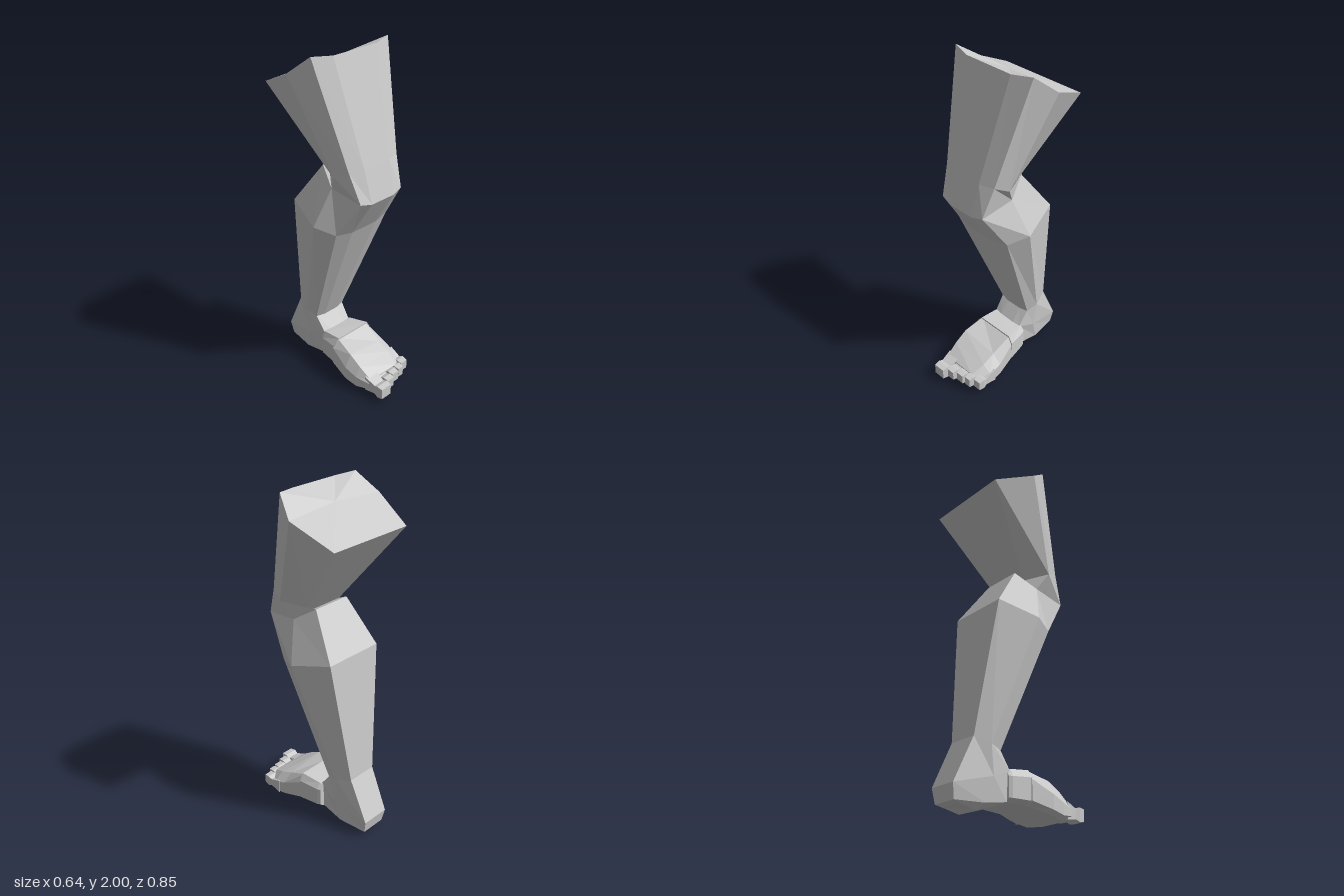
import * as THREE from 'three';

const material = new THREE.MeshStandardMaterial({ color: 0xcccccc, flatShading: true });

// Skin a list of rings (equal point counts); optionally close the first and last ring.
function loft(name, rings, capStart = true, capEnd = true) {
  const pos = [];
  const tri = (a, b, c) => pos.push(...a, ...b, ...c);
  const n = rings[0].length;
  for (let r = 0; r + 1 < rings.length; r++) {
    for (let i = 0; i < n; i++) {
      const j = (i + 1) % n;
      const [a, b, c, d] = [rings[r][i], rings[r][j], rings[r + 1][j], rings[r + 1][i]];
      tri(a, d, c);
      tri(a, c, b);
    }
  }
  const cap = (ring, flip) => {
    const mid = [0, 1, 2].map(k => ring.reduce((s, p) => s + p[k], 0) / n);
    ring.forEach((p, i) => {
      const q = ring[(i + 1) % n];
      flip ? tri(mid, q, p) : tri(mid, p, q);
    });
  };
  if (capStart) cap(rings[0], false);
  if (capEnd) cap(rings[rings.length - 1], true);
  const geo = new THREE.BufferGeometry();
  geo.setAttribute('position', new THREE.Float32BufferAttribute(pos, 3));
  geo.computeVertexNormals();
  const mesh = new THREE.Mesh(geo, material);
  mesh.name = name;
  return mesh;
}

// Leg ring from its +x half: front middle, front corner, side, back corner.
const mirrorRing = (...half) =>
  [...half, ...half.slice().reverse().map(([x, y, z]) => [-x, y, z])];

// Foot ring at depth z: top edge, sides and sole, clockwise seen from the toes.
const footRing = (z, topL, topR, yTopL, yTopR, sideL, sideR, ySide, soleL, soleR, ySole) => [
  [topL, yTopL, z], [topR, yTopR, z], [sideR, ySide, z],
  [sideR, ySole + 0.02, z], [soleR, ySole, z], [soleL, ySole, z],
  [sideL, ySole + 0.02, z], [sideL, ySide, z],
];

// Four-cornered toe ring.
const toeRing = (x0, x1, y0, y1, z) => [[x0, y1, z], [x1, y1, z], [x1, y0, z], [x0, y0, z]];

export function createModel() {
  const group = new THREE.Group();
  group.name = 'lowerLeg';

  const thighTop = mirrorRing([0.15, 1.99, 0.065], [0.265, 2, 0.03], [0.32, 1.9, -0.09], [0.26, 1.79, -0.33]);
  const thighLow = mirrorRing([0.09, 1.42, 0.225], [0.175, 1.42, 0.2], [0.205, 1.38, 0.12], [0.12, 1.33, 0]);
  const knee = mirrorRing([0.08, 1.235, 0.275], [0.15, 1.25, 0.262], [0.165, 1.28, 0.06], [0.115, 1.36, -0.06]);
  const calf = mirrorRing([0.09, 1.015, 0.14], [0.19, 1.025, 0.12], [0.245, 1.05, 0], [0.18, 1.11, -0.23]);
  const ankle = mirrorRing([0.05, 0.305, -0.14], [0.105, 0.31, -0.15], [0.12, 0.33, -0.22], [0.09, 0.36, -0.31]);
  const heelMid = mirrorRing([0.05, 0.225, -0.08], [0.1, 0.22, -0.085], [0.115, 0.17, -0.2], [0.085, 0.11, -0.425]);
  const heelLow = mirrorRing([0.05, 0.06, -0.1], [0.095, 0.06, -0.1], [0.1, 0.035, -0.24], [0.075, 0.03, -0.41]);
  const heelSole = mirrorRing([0.04, 0.055, -0.11], [0.07, 0.045, -0.13], [0.065, 0, -0.27], [0.05, 0.015, -0.38]);

  group.add(
    loft('thigh', [thighTop, thighLow, knee], true, false),
    loft('calf', [knee, calf, ankle], false, false),
    loft('heel', [ankle, heelMid, heelLow, heelSole], false, true),
  );

  // Instep block, then the ball of the foot sloping down to the toes
  group.add(loft('instep', [
    footRing(-0.1, -0.09, 0.1, 0.225, 0.22, -0.11, 0.125, 0.19, -0.08, 0.1, 0.06),
    footRing(-0.08, -0.1, 0.11, 0.23, 0.225, -0.12, 0.135, 0.19, -0.09, 0.11, 0.06),
    footRing(0.04, -0.1, 0.135, 0.245, 0.245, -0.135, 0.16, 0.2, -0.1, 0.13, 0.06),
  ]));
  group.add(loft('forefoot', [
    footRing(0.03, -0.1, 0.13, 0.24, 0.24, -0.14, 0.155, 0.19, -0.1, 0.12, 0.06),
    footRing(0.16, -0.12, 0.12, 0.205, 0.175, -0.16, 0.18, 0.13, -0.13, 0.14, 0.03),
    footRing(0.24, -0.12, 0.12, 0.16, 0.14, -0.15, 0.18, 0.1, -0.12, 0.13, 0.015),
    footRing(0.32, -0.11, 0.1, 0.105, 0.1, -0.125, 0.125, 0.085, -0.1, 0.1, 0.025),
  ]));

  // Toes: [name, inner x, outer x, tip z, underside y]
  const toes = [
    ['bigToe', -0.122, -0.042, 0.42, 0.025],
    ['secondToe', -0.04, 0.015, 0.39, 0.035],
    ['thirdToe', 0.019, 0.075, 0.37, 0.035],
    ['fourthToe', 0.079, 0.126, 0.36, 0.035],
    ['littleToe', 0.13, 0.185, 0.335, 0.035],
  ];
  for (const [name, x0, x1, tip, y0] of toes) {
    group.add(loft(name, [
      toeRing(x0 - 0.004, x1, y0, 0.12, tip - 0.13),
      toeRing(x0 + 0.004, x1 - 0.004, y0 + 0.01, 0.092, tip - 0.06),
      toeRing(x0, x1, y0, 0.103, tip - 0.035),
      toeRing(x0 + 0.004, x1 - 0.004, y0 + 0.005, 0.098, tip),
    ]));
  }
  return group;
}
